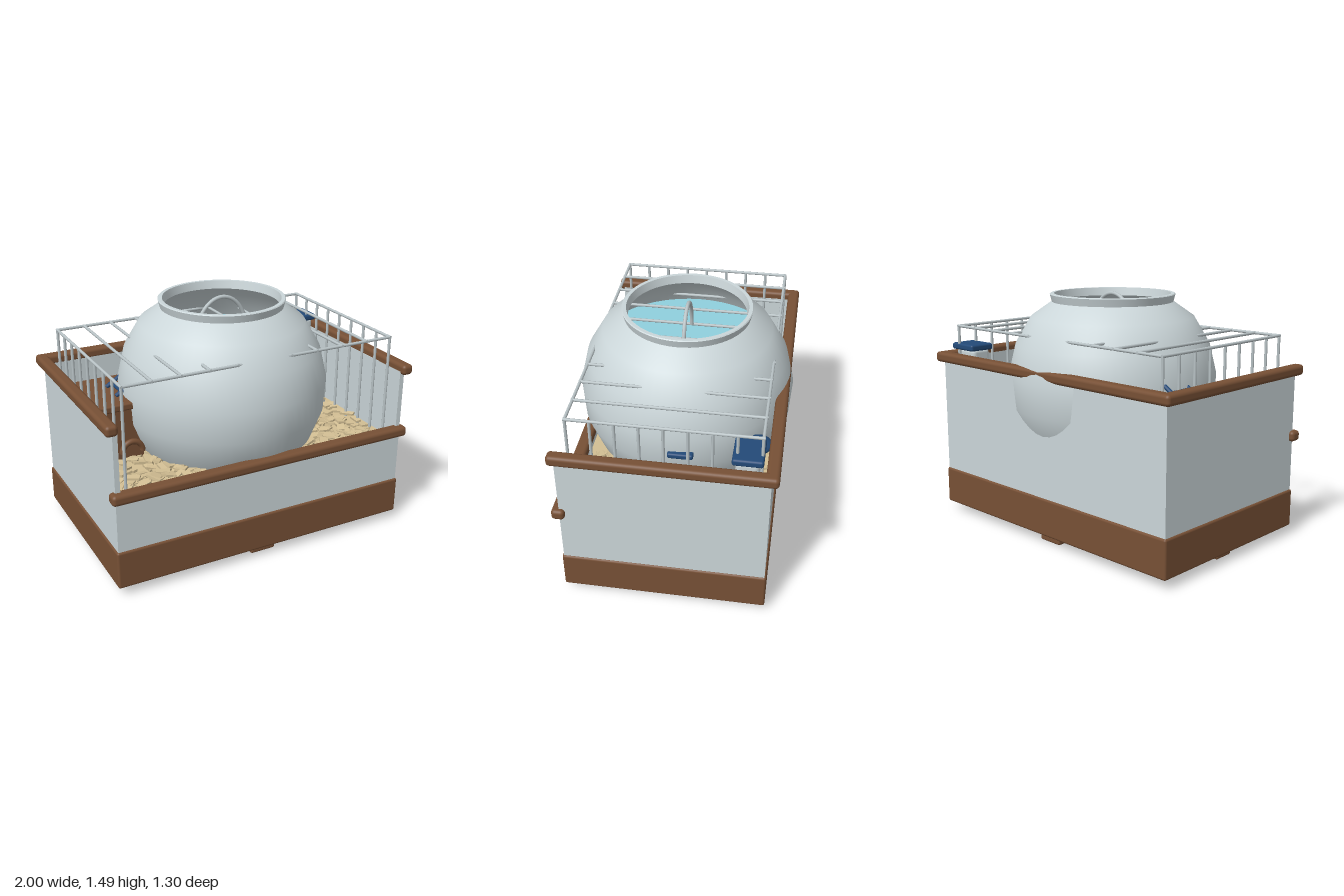
import * as THREE from 'three';
import { mergeGeometries, toCreasedNormals } from 'three/addons/utils/BufferGeometryUtils.js';
import { RoundedBoxGeometry } from 'three/addons/geometries/RoundedBoxGeometry.js';

const mat = (name, color, side = THREE.FrontSide) => {
  const m = new THREE.MeshStandardMaterial({ color, side });
  m.name = name;
  return m;
};

export function createModel() {
  const wood = mat('wood', 0x775035);
  const glass = mat('paleGlass', 0xcbd6d9, THREE.DoubleSide);
  const metal = mat('metal', 0xb9c3c6);
  const blue = mat('bluePlastic', 0x234a78);
  const water = mat('water', 0x8fd0de);
  const bedding = mat('bedding', 0xd3bf94);

  const model = new THREE.Group();
  model.name = 'petCage';
  const add = (name, geometry, material, x = 0, y = 0, z = 0, parent = model) => {
    const mesh = new THREE.Mesh(geometry, material);
    mesh.name = name;
    mesh.position.set(x, y, z);
    parent.add(mesh);
    return mesh;
  };
  // Box given by its minimum and maximum corners; r rounds the edges
  const box = (name, material, [x0, y0, z0], [x1, y1, z1], r = 0) => {
    const s = [x1 - x0, y1 - y0, z1 - z0];
    const g = r ? new RoundedBoxGeometry(...s, 3, r) : new THREE.BoxGeometry(...s);
    return add(name, g, material, (x0 + x1) / 2, (y0 + y1) / 2, (z0 + z1) / 2);
  };
  // Round rod between two points
  const rod = (name, material, a, b, r = 0.009) => {
    const p = new THREE.Vector3(...a), q = new THREE.Vector3(...b);
    const d = q.clone().sub(p);
    const m = add(name, new THREE.CylinderGeometry(r, r, d.length(), 10), material);
    m.position.copy(p).add(q).multiplyScalar(0.5);
    m.quaternion.setFromUnitVectors(new THREE.Vector3(0, 1, 0), d.normalize());
    return m;
  };

  // Base tray, wooden feet and blue corner pads
  box('baseTray', wood, [-0.965, 0.055, -0.6], [0.965, 0.29, 0.6], 0.014);
  for (const [x, z] of [[-0.82, 0], [0.82, 0], [0, 0.485], [0, -0.485]])
    box('foot', wood, [x - 0.083, 0, z - 0.066], [x + 0.083, 0.06, z + 0.066], 0.012);
  for (const x of [-0.74, 0.74]) for (const z of [-0.44, 0.44])
    box('cornerPad', blue, [x - 0.068, 0.042, z - 0.052], [x + 0.068, 0.062, z + 0.052], 0.008);

  // Walls: low in front, high on the sides and back
  box('frontWall', glass, [-0.955, 0.285, 0.56], [0.955, 0.62, 0.59]);
  box('backWall', glass, [-0.955, 0.285, -0.59], [0.955, 1.03, -0.56]);
  box('frontRail', wood, [-0.985, 0.6, 0.555], [0.985, 0.665, 0.632], 0.022);
  box('backRail', wood, [-0.99, 1.01, -0.632], [0.99, 1.075, -0.558], 0.022);
  for (const s of [-1, 1]) {
    const x = s * 0.9625;
    box('sideWall', glass, [s * 0.94 - 0.015, 0.285, -0.59], [s * 0.94 + 0.015, 1.03, 0.59]);
    box('sideRail', wood, [x - 0.0365, 1.01, -0.632], [x + 0.0365, 1.075, 0.622], 0.022);
  }

  // Bedding with scattered wood chips
  box('beddingBed', bedding, [-0.925, 0.29, -0.56], [0.925, 0.57, 0.56]);
  let seed = 7;
  const rnd = () => (seed = (seed * 16807) % 2147483647) / 2147483647;
  const chips = [];
  for (let i = 0; i < 900; i++) {
    const x = (rnd() - 0.5) * 1.74, z = (rnd() - 0.5) * 1.02;
    if (Math.hypot(x, z) < 0.53 || (x < 0 && z > -0.38 && z < 0.06)) continue;
    const chip = new THREE.BoxGeometry(0.05 + rnd() * 0.045, 0.014, 0.03 + rnd() * 0.025);
    chip.rotateZ((rnd() - 0.5) * 0.4).rotateX((rnd() - 0.5) * 0.4).rotateY(rnd() * Math.PI);
    chips.push(chip.translate(x, 0.575 + rnd() * 0.025, z));
  }
  add('woodChips', mergeGeometries(chips), bedding);

  // Round bowl with flared lip; the profile runs up outside and down inside
  const cy = 0.93, R = 0.65, profile = [];
  for (let a = -80; a <= 50; a += 17) {
    const t = THREE.MathUtils.degToRad(a);
    profile.push([R * Math.cos(t), cy + R * Math.sin(t)]);
  }
  profile.push([0.375, 1.43], [0.387, 1.475], [0.382, 1.48], [0.36, 1.48], [0.35, 1.43],
    [0.45, 1.36], [0.54, 1.25], [0.6, 1.13]);
  const bowl = new THREE.LatheGeometry(profile.map(p => new THREE.Vector2(...p)), 64);
  add('bowl', toCreasedNormals(bowl, 0.6), glass);
  add('water', new THREE.CylinderGeometry(0.57, 0.57, 0.02, 48), water, 0, 1.18, 0);

  // Wire top: side bars, frame, roof bars and arched handle
  const X = 0.87, Z = 0.53, T = 1.245;
  for (const s of [-1, 1]) {
    rod('frameBar', metal, [-X, T, s * Z], [X, T, s * Z]);
    for (let i = -4; i <= 4; i++)
      rod('sideBar', metal, [s * X, 0.56, i * Z / 4], [s * X, T, i * Z / 4]);
  }
  for (let i = -5; i <= 5; i++)
    rod('roofBar', metal, [i * X / 5, T, -Z - 0.008], [i * X / 5, T, Z + 0.008]);
  const arch = [];
  for (let i = 0; i <= 12; i++) {
    const t = Math.PI * i / 12;
    arch.push(new THREE.Vector3(0.17 * Math.cos(t), T + 0.232 * Math.sin(t), 0));
  }
  add('handle', new THREE.TubeGeometry(new THREE.CatmullRomCurve3(arch), 32, 0.012, 10), metal);

  // Wooden hut with flat roof and arched doorway
  box('hutBody', wood, [-0.91, 0.55, -0.37], [-0.4, 0.91, 0.07]);
  box('hutRoof', wood, [-0.926, 0.9, -0.386], [-0.37, 0.945, 0.09], 0.012);
  add('hutDoorArch', new THREE.TorusGeometry(0.065, 0.018, 10, 24, Math.PI), wood, -0.65, 0.63, 0.09);
  add('hutDoor', new THREE.CylinderGeometry(0.065, 0.065, 0.03, 24), wood, -0.65, 0.63, 0.075)
    .rotation.x = Math.PI / 2;

  // Blue ladder leading up from the hut roof
  for (const z of [-0.2, -0.04])
    rod('ladderRail', blue, [-0.69, 0.95, z], [-0.45, 1.1, z], 0.013);
  for (let i = 0; i < 4; i++) {
    const x = -0.655 + i * 0.06, y = 0.972 + i * 0.0375;
    rod('ladderRung', blue, [x, y, -0.2], [x, y, -0.04], 0.011);
  }

  // Blue ledge beside the bowl and rounded cup in the corner
  box('ledge', blue, [0.52, 0.865, -0.13], [0.668, 0.9, 0.02], 0.012);
  add('cup', new THREE.SphereGeometry(0.075, 24, 16), blue, 0.6, 0.98, -0.495).scale.y = 0.5;

  // Water bottle with blue cap
  box('bottle', glass, [0.735, 0.715, -0.52], [0.92, 1.1, -0.39], 0.025);
  box('bottleCap', blue, [0.725, 1.09, -0.542], [0.935, 1.132, -0.372], 0.014);

  return model;
}
